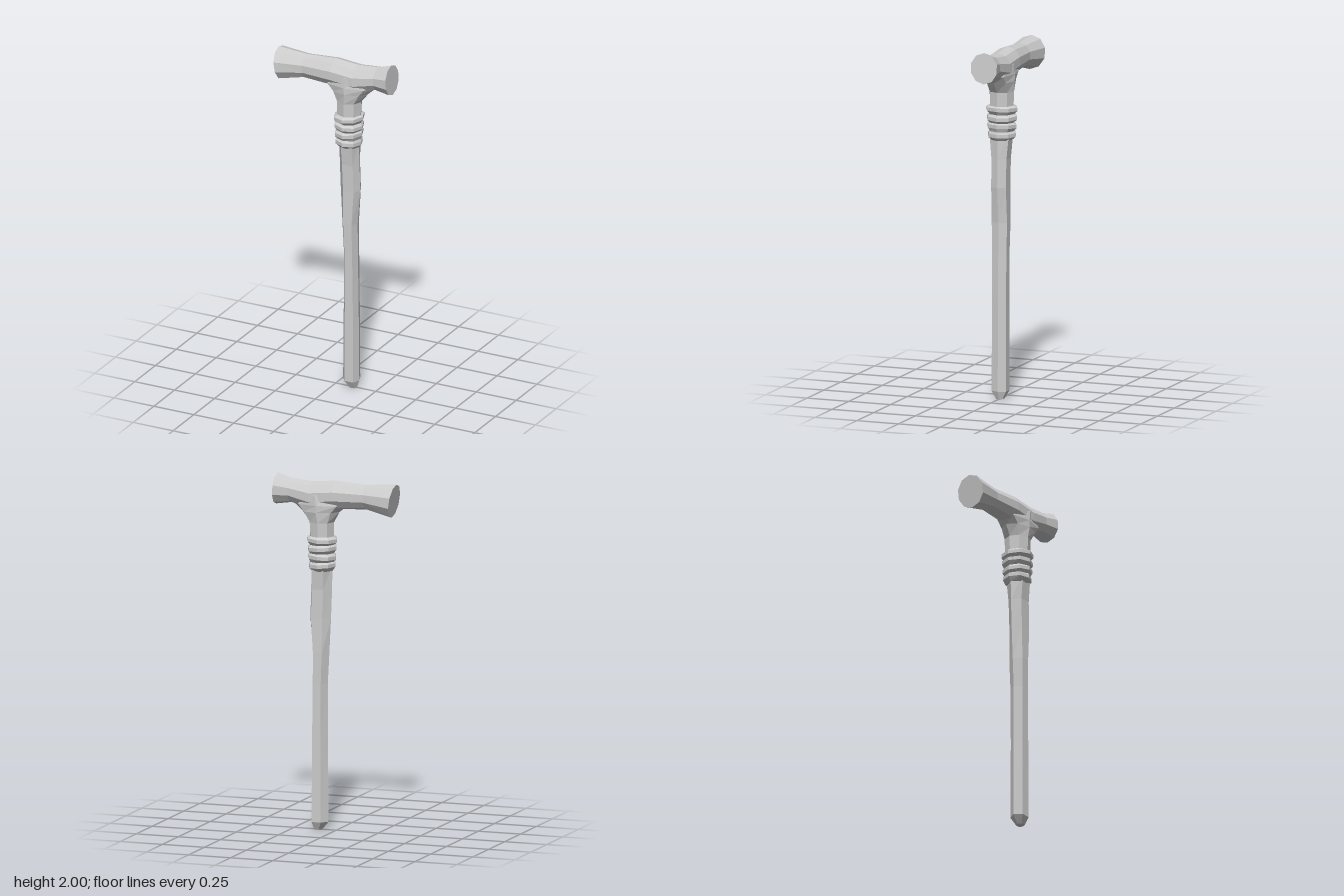
import * as THREE from 'three';

// Closed faceted skin over equal-length rings (anticlockwise seen from the far end)
function loft(rings) {
  const pos = [];
  const tri = (...pts) => pts.forEach(p => pos.push(p.x, p.y, p.z));
  const centre = ring => ring.reduce((s, p) => s.add(p), new THREE.Vector3()).divideScalar(ring.length);
  const n = rings[0].length;
  const first = rings[0], last = rings[rings.length - 1];
  const c0 = centre(first), c1 = centre(last);
  for (let i = 0; i < n; i++) {
    const j = (i + 1) % n;
    for (let k = 0; k < rings.length - 1; k++) {
      const a = rings[k], b = rings[k + 1];
      tri(a[i], a[j], b[j]);
      tri(a[i], b[j], b[i]);
    }
    tri(c0, first[j], first[i]);
    tri(c1, last[i], last[j]);
  }
  const g = new THREE.BufferGeometry();
  g.setAttribute('position', new THREE.Float32BufferAttribute(pos, 3));
  g.computeVertexNormals();
  return g;
}

// Ten-sided ring around x; lean tilts the end cuts
function headRing([x, bottom, top, rz, lean = 0]) {
  const cy = (top + bottom) / 2, ry = (top - bottom) / 2;
  return Array.from({ length: 10 }, (_, i) => {
    const t = i / 10 * Math.PI * 2;
    return new THREE.Vector3(x + lean * Math.cos(t), cy + ry * Math.cos(t), rz * Math.sin(t));
  });
}

// Eight-sided horizontal ring spanning x0..x1, tilted slightly by slope
function collarRing([y, x0, x1, rz, slope = 0]) {
  const cx = (x0 + x1) / 2, rx = (x1 - x0) / 2;
  return Array.from({ length: 8 }, (_, i) => {
    const t = i / 8 * Math.PI * 2;
    return new THREE.Vector3(cx + rx * Math.cos(t), y + slope * Math.cos(t), -rz * Math.sin(t));
  });
}

// Six-sided shaft ring with uneven front facets
function shaftRing([y, x0, x1, rz]) {
  const w = x1 - x0, l = x0 + 0.3 * w, r = x1 - 0.16 * w;
  return [[x1, 0], [r, -rz], [l, -rz], [x0, 0], [l, rz], [r, rz]]
    .map(([x, z]) => new THREE.Vector3(x, y, z));
}

export function createModel() {
  const group = new THREE.Group();
  const grey = new THREE.MeshStandardMaterial({ color: 0xcccccc });
  grey.name = 'plain grey';
  grey.flatShading = true;
  const add = (name, rings) => {
    const mesh = new THREE.Mesh(loft(rings), grey);
    mesh.name = name;
    group.add(mesh);
  };

  // Hammer-like cross handle, flared at both ends
  add('handle', [
    [-0.343, 1.787, 1.976, 0.089, -0.014],
    [-0.18, 1.825, 1.964, 0.066],
    [0.0, 1.815, 1.976, 0.078],
    [0.14, 1.8, 1.964, 0.077],
    [0.265, 1.838, 1.974, 0.066],
    [0.352, 1.824, 2.0, 0.081, -0.005],
  ].map(headRing));

  // Neck flaring up into the handle
  add('neck', [
    [1.63, 0.015, 0.155, 0.07],
    [1.74, 0.013, 0.158, 0.073],
    [1.80, -0.02, 0.205, 0.08],
    [1.84, -0.07, 0.25, 0.081],
    [1.90, 0.0, 0.2, 0.077],
  ].map(collarRing));

  // Wound binding: four bulging coils
  const coils = [[1.465, 0.022, 0.148, 0.06]];
  for (let i = 0; i < 4; i++) {
    const y = 1.478 + i * 0.048, s = i % 2 ? 0.004 : -0.004, g = i * 0.003;
    coils.push([y + 0.007, 0.005 - g, 0.161 + g, 0.083 + g, s]);
    coils.push([y + 0.027, 0.005 - g, 0.161 + g, 0.083 + g, s]);
    coils.push([y + 0.038, 0.016, 0.155, 0.072]);
  }
  add('binding', coils.map(collarRing));

  // Slightly crooked wooden shaft with a chamfered tip
  add('shaft', [
    [0, 0.083, 0.132, 0.02],
    [0.045, 0.046, 0.147, 0.043],
    [0.5, 0.05, 0.143, 0.042],
    [0.83, 0.05, 0.138, 0.043],
    [1.0, 0.041, 0.137, 0.046],
    [1.2, 0.031, 0.154, 0.044],
    [1.36, 0.025, 0.148, 0.045],
    [1.5, 0.022, 0.145, 0.058],
  ].map(shaftRing));

  return group;
}
